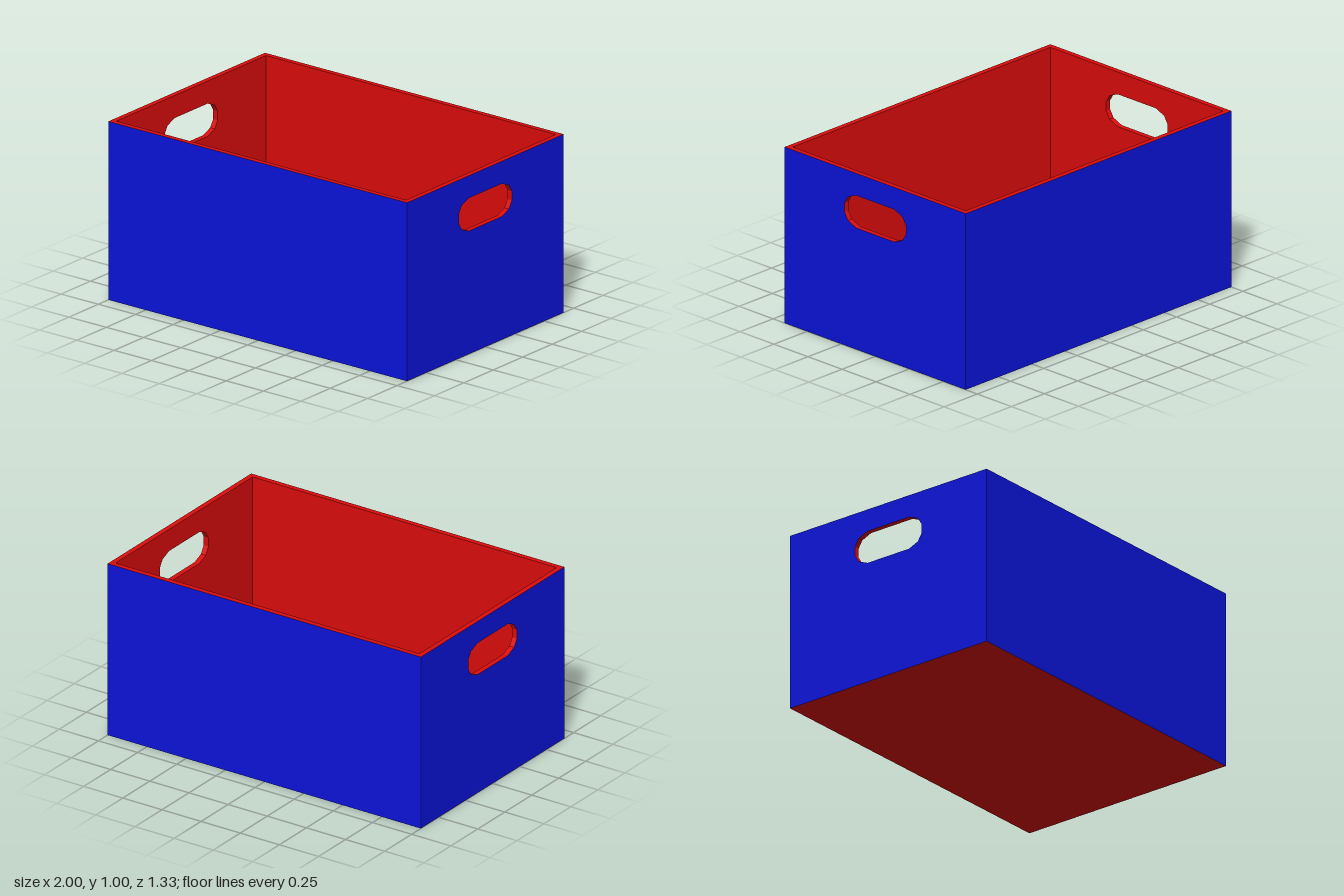
import * as THREE from 'three';

const W = 2, H = 1, D = 1.33, T = 0.03; // outer size and board thickness

export function createModel() {
  const crate = new THREE.Group();
  crate.name = 'crate';
  const blue = new THREE.MeshStandardMaterial({ color: 0x0c14dc });
  const red = new THREE.MeshStandardMaterial({ color: 0xdc0c0c });

  const add = (name, geometry, material, angle = 0) => {
    const mesh = new THREE.Mesh(geometry, material);
    mesh.name = name;
    mesh.rotation.y = angle;
    crate.add(mesh);
  };

  // Floor board between the walls
  const floor = new THREE.BoxGeometry(W - 2 * T, T, D - 2 * T).translate(0, T / 2, 0);
  add('floor', floor, red);

  // Long walls: blue outside and at the ends, red inside and on the rim
  const longWall = new THREE.BoxGeometry(W, H, T).translate(0, H / 2, (D - T) / 2);
  const longSkin = [blue, blue, red, red, blue, red];
  add('frontWall', longWall, longSkin);
  add('backWall', longWall, longSkin, Math.PI);

  // End wall outline with a faceted grip hole
  const half = D / 2 - T;
  const outline = new THREE.Shape([[-half, 0], [half, 0], [half, H], [-half, H]]
    .map(([x, y]) => new THREE.Vector2(x, y)));
  const corner = [[0.225, 0.026], [0.2, 0.067], [0.14, 0.092]];
  const quarter = (sx, sy) => corner.map(([x, y]) => new THREE.Vector2(sx * x, 0.782 + sy * y));
  outline.holes.push(new THREE.Path([
    ...quarter(1, 1), ...quarter(-1, 1).reverse(),
    ...quarter(-1, -1), ...quarter(1, -1).reverse(),
  ]));

  // End walls: inner face, outer face and edges get their own groups
  const endWall = new THREE.ExtrudeGeometry(outline, { depth: T, bevelEnabled: false });
  endWall.translate(0, 0, W / 2 - T);
  const [faces, edges] = endWall.groups;
  const n = faces.count / 2;
  endWall.clearGroups();
  endWall.addGroup(0, n, 0);
  endWall.addGroup(n, n, 1);
  endWall.addGroup(edges.start, edges.count, 0);
  add('leftEndWall', endWall, [red, blue], Math.PI / 2);
  add('rightEndWall', endWall, [red, blue], -Math.PI / 2);

  return crate;
}
